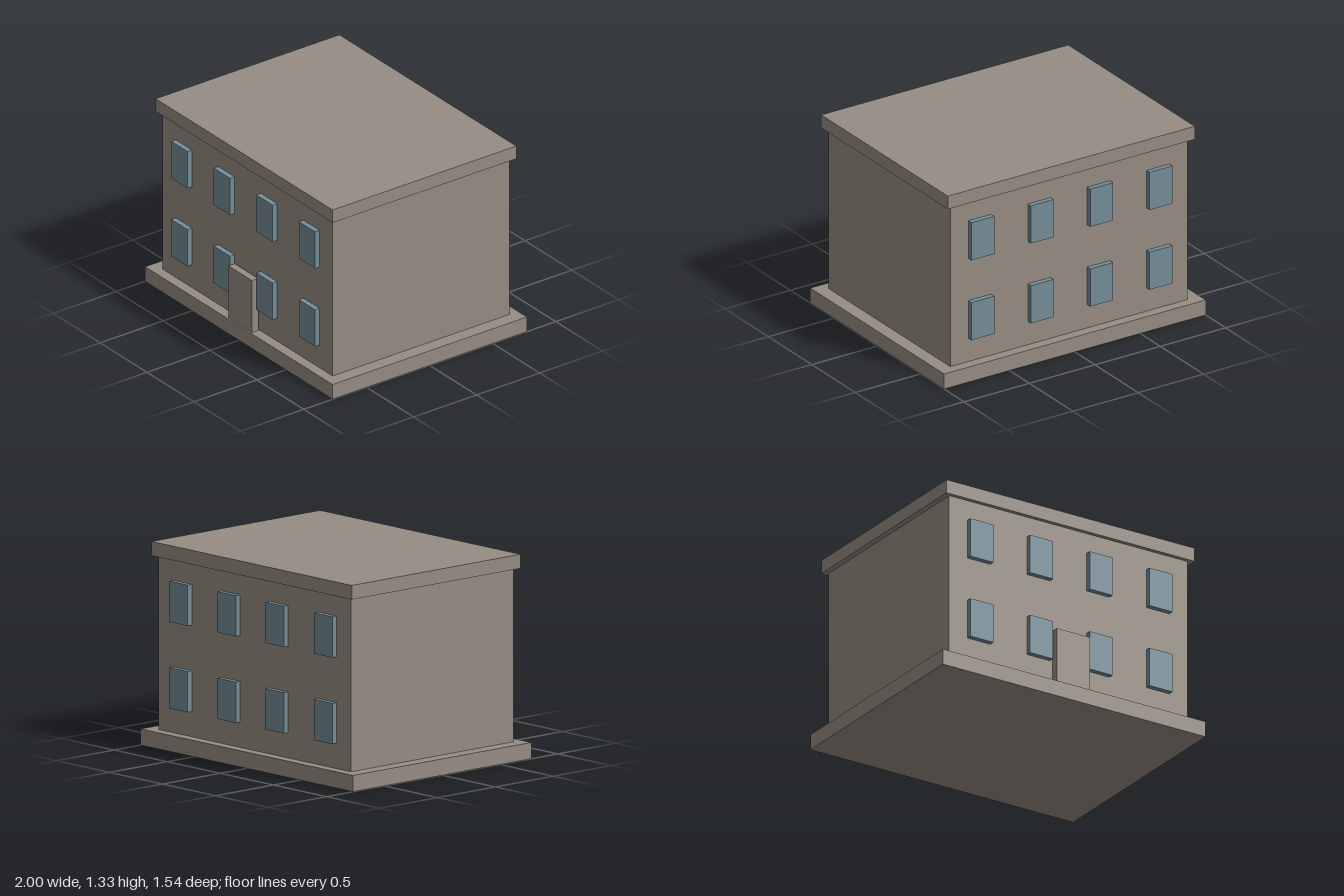
import * as THREE from 'three';

export function createModel() {
  const building = new THREE.Group();
  building.name = 'building';

  const stone = new THREE.MeshStandardMaterial({ color: 0x968c82 });
  stone.name = 'stone';
  const glass = new THREE.MeshStandardMaterial({ color: 0x758d99 });
  glass.name = 'blue glass';

  // Box given by its size, its centre in x and z, and its bottom in y
  function addBox(name, material, [w, h, d], [x, bottom, z]) {
    const mesh = new THREE.Mesh(new THREE.BoxGeometry(w, h, d), material);
    mesh.name = name;
    mesh.position.set(x, bottom + h / 2, z);
    building.add(mesh);
  }

  // Main masses
  addBox('foundation', stone, [2, 0.106, 1.542], [0, 0, 0]);
  addBox('walls', stone, [1.812, 1.129, 1.402], [0, 0.106, 0]);
  addBox('roof', stone, [1.888, 0.092, 1.458], [0, 1.235, 0]);

  // Door slab, standing just clear of the front wall
  addBox('door', stone, [0.252, 0.374, 0.05], [0, 0.106, 0.735]);

  // Two rows of four windows on the front and back
  for (const [side, z] of [['front', 0.719], ['back', -0.719]]) {
    for (const [floor, y] of [['Lower', 0.27], ['Upper', 0.832]]) {
      for (let i = 0; i < 4; i++) {
        const x = (i - 1.5) * 0.454;
        addBox(`${side}${floor}Window${i + 1}`, glass, [0.174, 0.265, 0.036], [x, y, z]);
      }
    }
  }

  return building;
}
